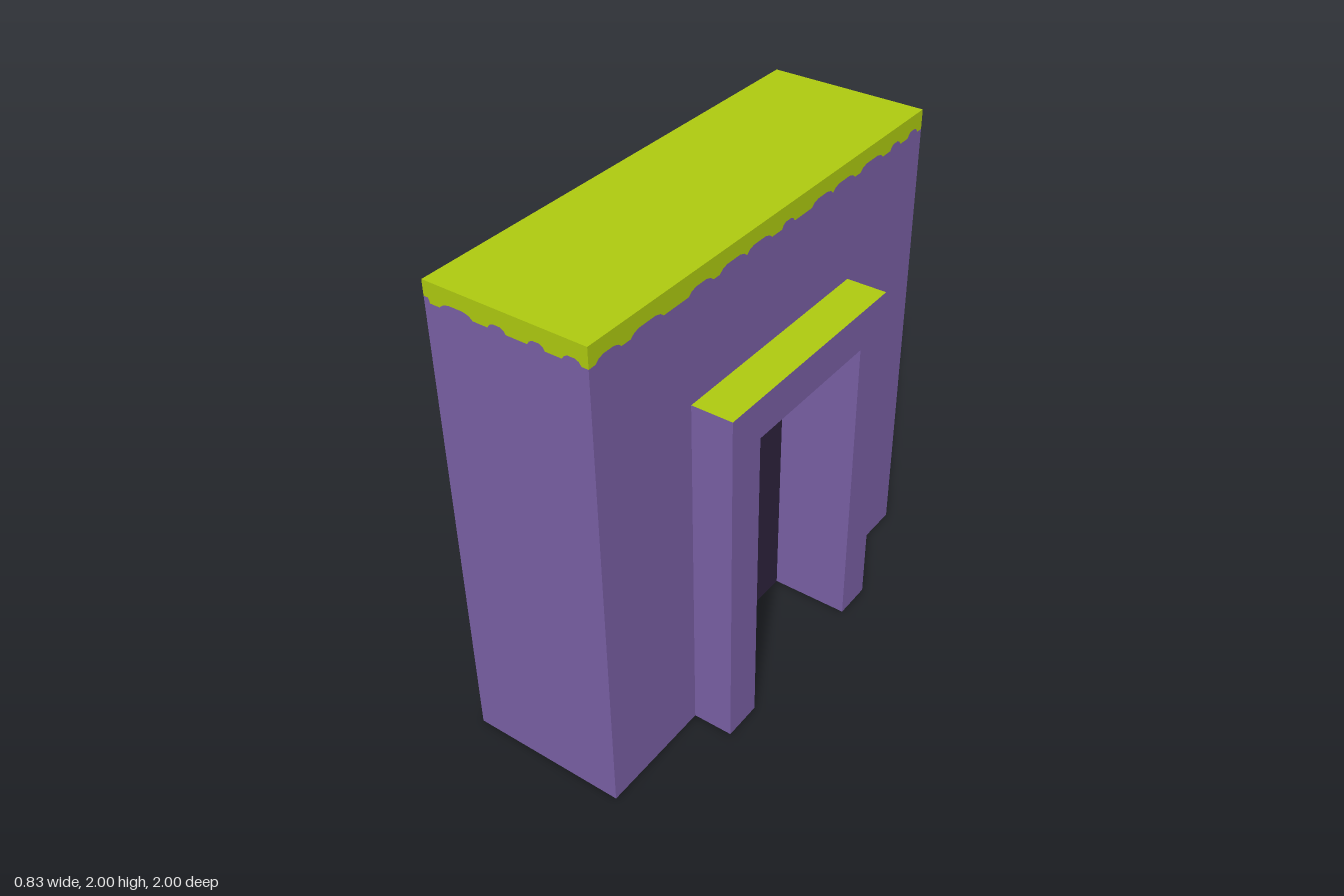
import * as THREE from 'three';

// Main dimensions
const BACK = -0.415, WALL = 0.247, TRIM = 0.415, RECESS = 0.082;
const TRIM_W = 0.5, TRIM_H = 1.5, DOOR_W = 0.333, DOOR_H = 1.333;
const MOSS_LOW = 1.92, MOSS_HIGH = 1.94;
const Q = Math.PI / 2;

// Orientation of a flat panel drawn in its own (u, v) plane
const TURN = {
  front: g => g,
  back: g => g.rotateY(Math.PI),
  left: g => g.rotateY(Q),
  right: g => g.rotateY(-Q),
  up: g => g.rotateX(-Q),
  down: g => g.rotateX(Q),
};

const rect = (u0, v0, u1, v1) => [[u0, v0], [u1, v0], [u1, v1], [u0, v1]];

// Ragged moss edge, running from u0 to u1
function raggedEdge(u0, u1, gaps) {
  const pts = [[u0, gaps[0][0] <= u0 ? MOSS_HIGH : MOSS_LOW]];
  for (const [a, b] of gaps) {
    const c = Math.min((b - a) * 0.3, 0.04), mid = MOSS_HIGH - 0.007;
    if (a > u0) pts.push([a, MOSS_LOW], [a + c * 0.4, mid], [a + c, MOSS_HIGH]);
    pts.push([b - c, MOSS_HIGH], [b - c * 0.4, mid], [b, MOSS_LOW]);
  }
  pts.push([u1, MOSS_LOW]);
  return pts;
}

export function createModel() {
  const model = new THREE.Group();
  model.name = 'doorwayWall';

  const material = (name, color) => {
    const m = new THREE.MeshStandardMaterial({ color });
    m.name = name;
    return m;
  };
  const purple = material('purpleStone', 0x7960a5);
  const moss = material('greenMoss', 0xafcb10);
  const dark = material('darkDoor', 0x2d233d);
  const grey = material('greyUnderside', 0x575757);

  const panel = (name, mat, points, facing, x = 0, y = 0, z = 0) => {
    const shape = new THREE.Shape(points.map(p => new THREE.Vector2(...p)));
    const mesh = new THREE.Mesh(TURN[facing](new THREE.ShapeGeometry(shape)), mat);
    mesh.name = name;
    mesh.position.set(x, y, z);
    model.add(mesh);
  };

  // A wall side whose top band is moss; lower is the outline below the edge
  const mossySide = (name, u0, u1, gaps, lower, facing, x, z) => {
    const edge = raggedEdge(u0, u1, gaps);
    panel(name, purple, [...lower, ...edge.slice().reverse()], facing, x, 0, z);
    panel(name + 'Moss', moss, [...edge, [u1, 2], [u0, 2]], facing, x, 0, z);
  };

  // Outline of a sheet with an opening cut up from the ground
  const arch = (w, h) => [[-w, 0], [-w, h], [w, h], [w, 0]];

  // Short ends, both with the same ragged pattern
  const endGaps = [[-0.415, -0.39], [-0.35, -0.21], [-0.15, -0.075], [0.01, 0.08], [0.145, 0.22]];
  mossySide('frontEnd', BACK, WALL, endGaps, [[BACK, 0], [WALL, 0]], 'front', 0, 1);
  const shift = -WALL - BACK;
  mossySide('backEnd', -WALL, -BACK, endGaps.map(g => g.map(u => u + shift)),
    [[-WALL, 0], [-BACK, 0]], 'back', 0, -1);

  // Long side with the doorway
  const longGaps = [[-0.968, -0.845], [-0.8, -0.635], [-0.505, -0.37], [-0.335, -0.18],
    [-0.18, -0.03], [0.03, 0.11], [0.22, 0.36], [0.36, 0.51], [0.55, 0.71],
    [0.765, 0.84], [0.895, 0.97]];
  mossySide('doorSide', -1, 1, longGaps,
    [[-1, 0], ...arch(TRIM_W, TRIM_H), [1, 0]], 'left', WALL, 0);

  // Plain long side and mossy roof
  panel('plainSide', purple, rect(-1, 0, 1, 2), 'right', BACK);
  panel('roofMoss', moss, rect(BACK, -1, WALL, 1), 'up', 0, 2);

  // Door frame standing out from the wall
  panel('frameFace', purple,
    [[-TRIM_W, 0], ...arch(DOOR_W, DOOR_H), [TRIM_W, 0], [TRIM_W, TRIM_H], [-TRIM_W, TRIM_H]],
    'left', TRIM);
  panel('frameTopMoss', moss, rect(WALL, -TRIM_W, TRIM, TRIM_W), 'up', 0, TRIM_H);
  panel('frameFrontSide', purple, rect(WALL, 0, TRIM, TRIM_H), 'front', 0, 0, TRIM_W);
  panel('frameBackSide', purple, rect(-TRIM, 0, -WALL, TRIM_H), 'back', 0, 0, -TRIM_W);

  // Recess with the dark door at its end
  panel('recessFrontJamb', purple, rect(-TRIM, 0, -RECESS, DOOR_H), 'back', 0, 0, DOOR_W);
  panel('recessBackJamb', purple, rect(RECESS, 0, TRIM, DOOR_H), 'front', 0, 0, -DOOR_W);
  panel('recessCeiling', grey, rect(RECESS, -DOOR_W, TRIM, DOOR_W), 'down', 0, DOOR_H);
  panel('door', dark, rect(-DOOR_W, 0, DOOR_W, DOOR_H), 'left', RECESS);

  // Underside, following the frame and the recess
  panel('underside', grey, [
    [BACK, -1], [WALL, -1], [WALL, -TRIM_W], [TRIM, -TRIM_W], [TRIM, -DOOR_W],
    [RECESS, -DOOR_W], [RECESS, DOOR_W], [TRIM, DOOR_W], [TRIM, TRIM_W],
    [WALL, TRIM_W], [WALL, 1], [BACK, 1],
  ], 'down');

  return model;
}
